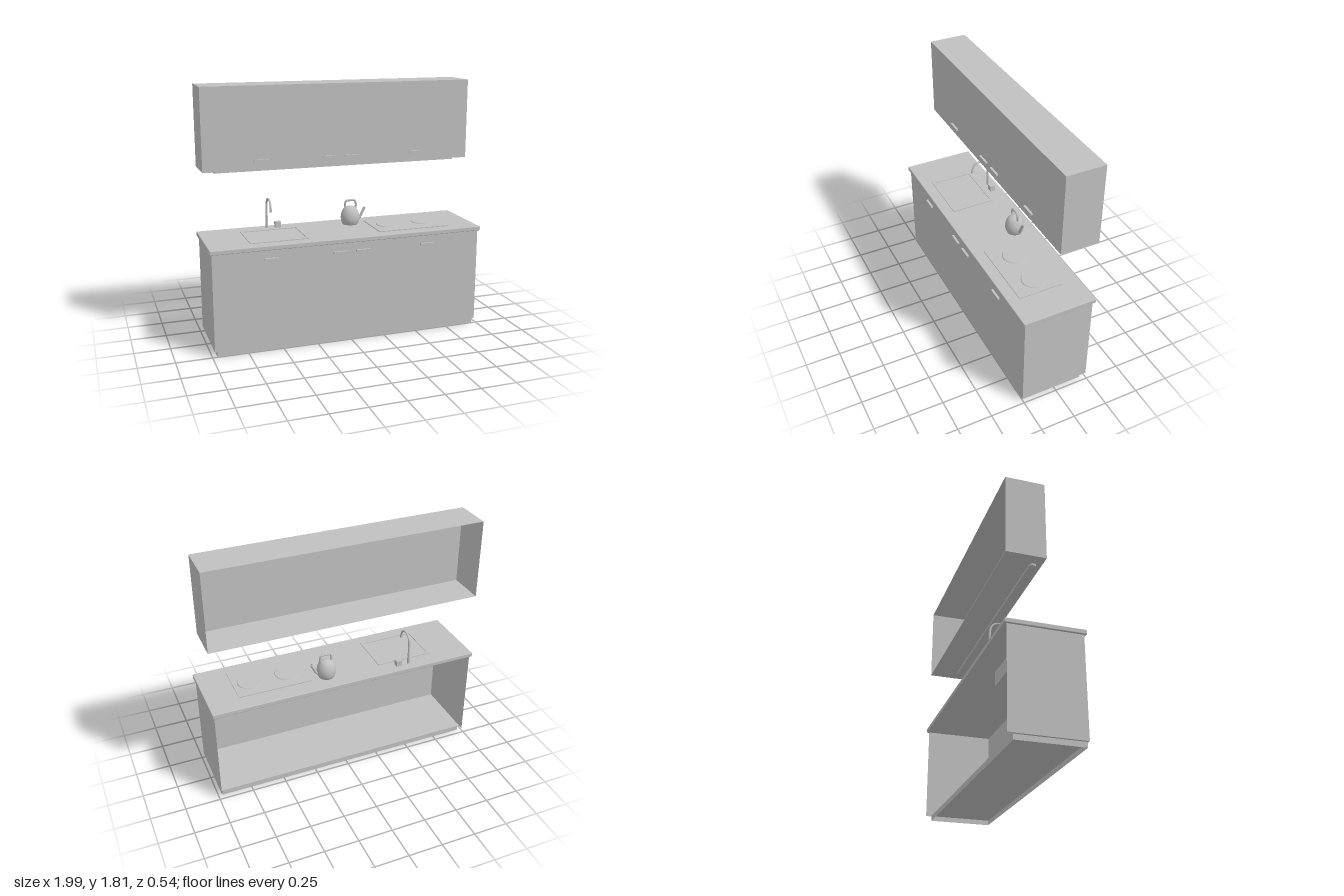
import * as THREE from 'three';
import { RoundedBoxGeometry } from 'three/addons/geometries/RoundedBoxGeometry.js';

const grey = new THREE.MeshStandardMaterial({ color: 0xc0c0c0, side: THREE.DoubleSide });
grey.name = 'plain grey';

function add(parent, name, geometry, x = 0, y = 0, z = 0) {
  const mesh = new THREE.Mesh(geometry, grey);
  mesh.name = name;
  mesh.position.set(x, y, z);
  parent.add(mesh);
  return mesh;
}

// Box given by its limits on each axis
function box(parent, name, [x0, x1], [y0, y1], [z0, z1]) {
  return add(parent, name, new THREE.BoxGeometry(x1 - x0, y1 - y0, z1 - z0),
    (x0 + x1) / 2, (y0 + y1) / 2, (z0 + z1) / 2);
}

// Thin-walled box with some sides left open
function shell(parent, name, xs, ys, zs, open) {
  const mesh = box(parent, name, xs, ys, zs);
  const sides = ['right', 'left', 'top', 'bottom', 'front', 'back'];
  const index = Array.from(mesh.geometry.index.array);
  mesh.geometry.setIndex(sides.flatMap((s, i) => open.includes(s) ? [] : index.slice(i * 6, i * 6 + 6)));
  mesh.geometry.clearGroups();
  return mesh;
}

function tube(parent, name, points, radius, segments = 32) {
  const curve = new THREE.CatmullRomCurve3(points.map(p => new THREE.Vector3(...p)));
  return add(parent, name, new THREE.TubeGeometry(curve, segments, radius, 12, false));
}

function roundedRect(w, d, r) {
  const s = new THREE.Shape();
  s.absarc(w / 2 - r, d / 2 - r, r, 0, Math.PI / 2);
  s.absarc(-w / 2 + r, d / 2 - r, r, Math.PI / 2, Math.PI);
  s.absarc(-w / 2 + r, -d / 2 + r, r, Math.PI, Math.PI * 1.5);
  s.absarc(w / 2 - r, -d / 2 + r, r, Math.PI * 1.5, Math.PI * 2);
  s.closePath();
  return s;
}

// Flat plate lying on the xz plane
function plate(shape, thickness) {
  return new THREE.ExtrudeGeometry(shape, { depth: thickness, bevelEnabled: false, curveSegments: 8 })
    .rotateX(-Math.PI / 2);
}

function handles(parent, y, z) {
  for (const x of [-0.577, -0.084, 0.083, 0.573]) {
    add(parent, 'doorHandle', new THREE.BoxGeometry(0.1, 0.014, 0.016), x, y, z + 0.008);
  }
}

export function createModel() {
  const kitchen = new THREE.Group();
  kitchen.name = 'kitchenette';

  // Base cabinet, open at the back
  const base = new THREE.Group();
  base.name = 'baseCabinet';
  kitchen.add(base);
  shell(base, 'cabinetShell', [-0.983, 0.983], [0.038, 0.73], [-0.25, 0.253], ['back', 'top', 'bottom']);
  box(base, 'cabinetFloor', [-0.983, 0.983], [0.036, 0.039], [-0.21, 0.253]);
  shell(base, 'plinth', [-0.967, 0.967], [0, 0.037], [-0.21, 0.247], ['top', 'bottom']);
  handles(base, 0.661, 0.253);
  add(base, 'countertop', new RoundedBoxGeometry(1.994, 0.032, 0.534, 2, 0.005), 0, 0.741, 0);

  // Wall cabinet with a lamp strip below
  const wall = new THREE.Group();
  wall.name = 'wallCabinet';
  kitchen.add(wall);
  shell(wall, 'wallCabinetShell', [-0.983, 0.983], [1.233, 1.807], [-0.252, 0.022], ['back']);
  handles(wall, 1.296, 0.022);
  add(wall, 'lampStrip', plate(roundedRect(1.805, 0.046, 0.022), 0.015), 0, 1.218, -0.038);

  // Sink rim and the bowl hanging below the countertop
  const sink = new THREE.Group();
  sink.name = 'sink';
  kitchen.add(sink);
  const rim = roundedRect(0.425, 0.33, 0.006);
  rim.holes.push(roundedRect(0.385, 0.29, 0.006));
  add(sink, 'sinkRim', plate(rim, 0.005), -0.492, 0.757, 0.018);
  shell(sink, 'sinkBowl', [-0.69, -0.29], [0.62, 0.726], [-0.1, 0.14], ['top']);

  // Faucet with an arched spout
  const arch = [[-0.494, 0.757, -0.203], [-0.494, 0.85, -0.203], [-0.494, 0.92, -0.2]];
  for (let i = 1; i <= 6; i++) {
    const a = Math.PI * i / 6.5;
    arch.push([-0.494, 0.922 + 0.064 * Math.sin(a), -0.137 - 0.063 * Math.cos(a)]);
  }
  arch.push([-0.494, 0.908, -0.071]);
  tube(sink, 'faucetSpout', arch, 0.0075, 48);
  add(sink, 'faucetBase', new THREE.CylinderGeometry(0.01, 0.01, 0.09, 16), -0.494, 0.802, -0.203);
  add(sink, 'faucetNozzle', new THREE.CylinderGeometry(0.009, 0.009, 0.016, 16), -0.494, 0.912, -0.071);
  box(sink, 'faucetControl', [-0.435, -0.393], [0.757, 0.8], [-0.215, -0.178]);

  // Cooktop with two round plates
  const cooktop = new THREE.Group();
  cooktop.name = 'cooktop';
  kitchen.add(cooktop);
  box(cooktop, 'cooktopPlate', [0.238, 0.775], [0.756, 0.763], [-0.142, 0.184]);
  for (const x of [0.372, 0.652]) {
    add(cooktop, 'burner', new THREE.CylinderGeometry(0.086, 0.09, 0.006, 40), x, 0.765, 0.01);
  }

  // Kettle
  const kettle = new THREE.Group();
  kettle.name = 'kettle';
  kettle.position.set(0.12, 0.757, -0.12);
  kitchen.add(kettle);
  const profile = new THREE.SplineCurve([[0.056, 0], [0.066, 0.025], [0.069, 0.055], [0.062, 0.09],
    [0.045, 0.12], [0.022, 0.133], [0, 0.137]].map(p => new THREE.Vector2(...p))).getPoints(20);
  profile[profile.length - 1].x = 0;
  add(kettle, 'kettleBody', new THREE.LatheGeometry([new THREE.Vector2(0, 0), ...profile], 32));
  tube(kettle, 'kettleHandle', [[-0.034, 0.118, 0], [-0.039, 0.15, 0], [-0.031, 0.174, 0], [0, 0.178, 0],
    [0.036, 0.174, 0], [0.046, 0.15, 0], [0.042, 0.115, 0]], 0.008);
  tube(kettle, 'kettleSpout', [[0.055, 0.032, 0], [0.078, 0.048, 0], [0.095, 0.08, 0], [0.115, 0.118, 0]], 0.01, 20);

  return kitchen;
}
